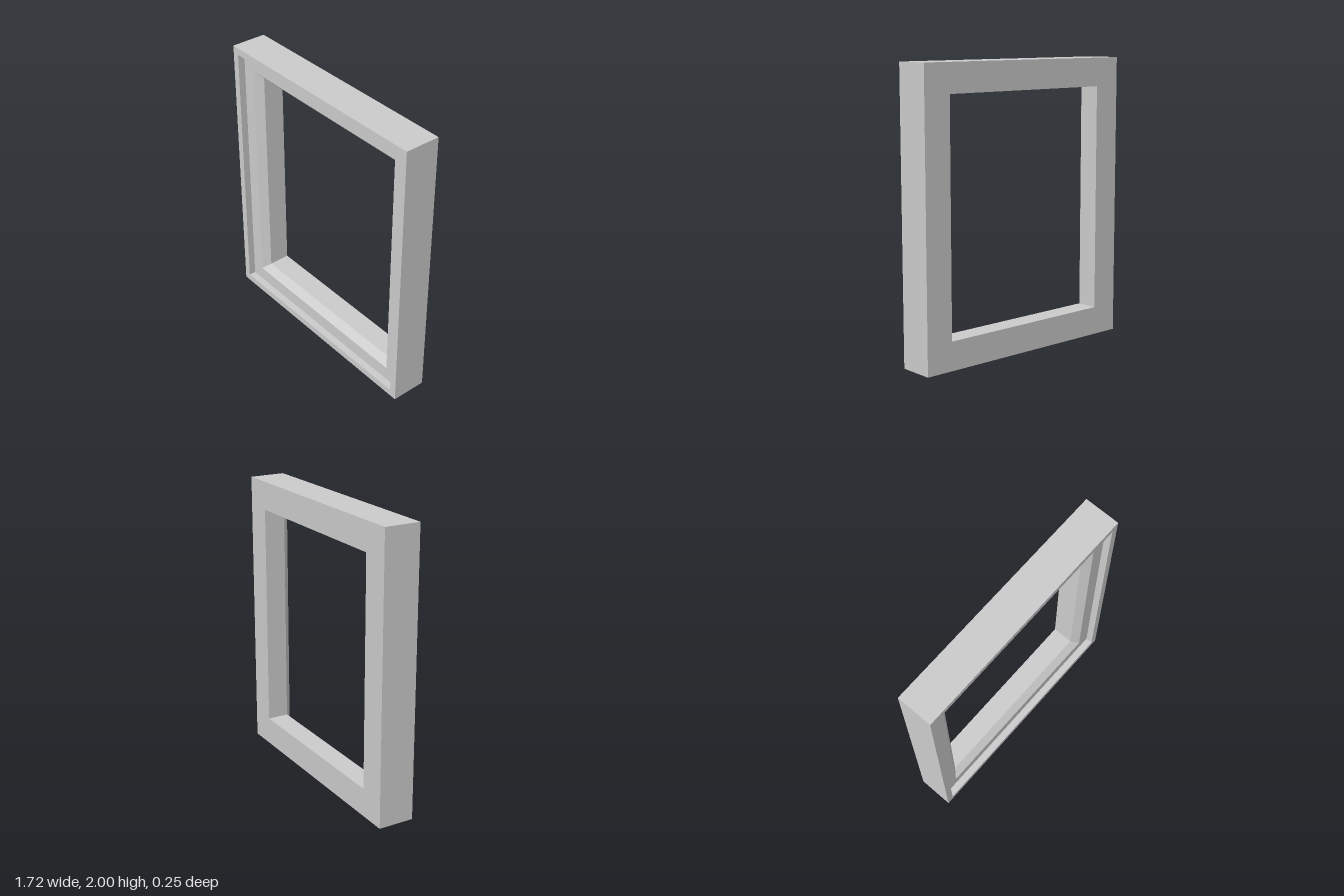
import * as THREE from 'three';

const HALF_W = 0.862, HALF_H = 1, HALF_D = 0.127;

// Moulding cross-section as [inset from the outer edge, z], outer back edge first
const PROFILE = [
  [0, -HALF_D],
  [0, HALF_D],
  [0.05, HALF_D],    // raised rim
  [0.05, 0.076],     // step down to the recessed face
  [0.15, 0.076],
  [0.2, 0.026],      // bevel into the opening
  [0.2, -HALF_D],
];

// Sweeps the profile around a rectangle with mitred corners
function mitredFrame(profile) {
  const corners = [[-1, -1], [1, -1], [1, 1], [-1, 1]];
  const point = ([inset, z], [sx, sy]) =>
    [sx * (HALF_W - inset), HALF_H + sy * (HALF_H - inset), z];
  const positions = [];
  profile.forEach((p, i) => {
    const q = profile[(i + 1) % profile.length];
    corners.forEach((c, k) => {
      const d = corners[(k + 1) % 4];
      const [a, b, e, f] = [point(p, c), point(p, d), point(q, d), point(q, c)];
      positions.push(...a, ...b, ...e, ...a, ...e, ...f);
    });
  });
  const geometry = new THREE.BufferGeometry();
  geometry.setAttribute('position', new THREE.Float32BufferAttribute(positions, 3));
  geometry.computeVertexNormals();
  return geometry;
}

export function createModel() {
  const group = new THREE.Group();
  group.name = 'pictureFrame';
  const material = new THREE.MeshStandardMaterial({ color: 0xcccccc, flatShading: true });
  const frame = new THREE.Mesh(mitredFrame(PROFILE), material);
  frame.name = 'frameMoulding';
  group.add(frame);
  return group;
}
